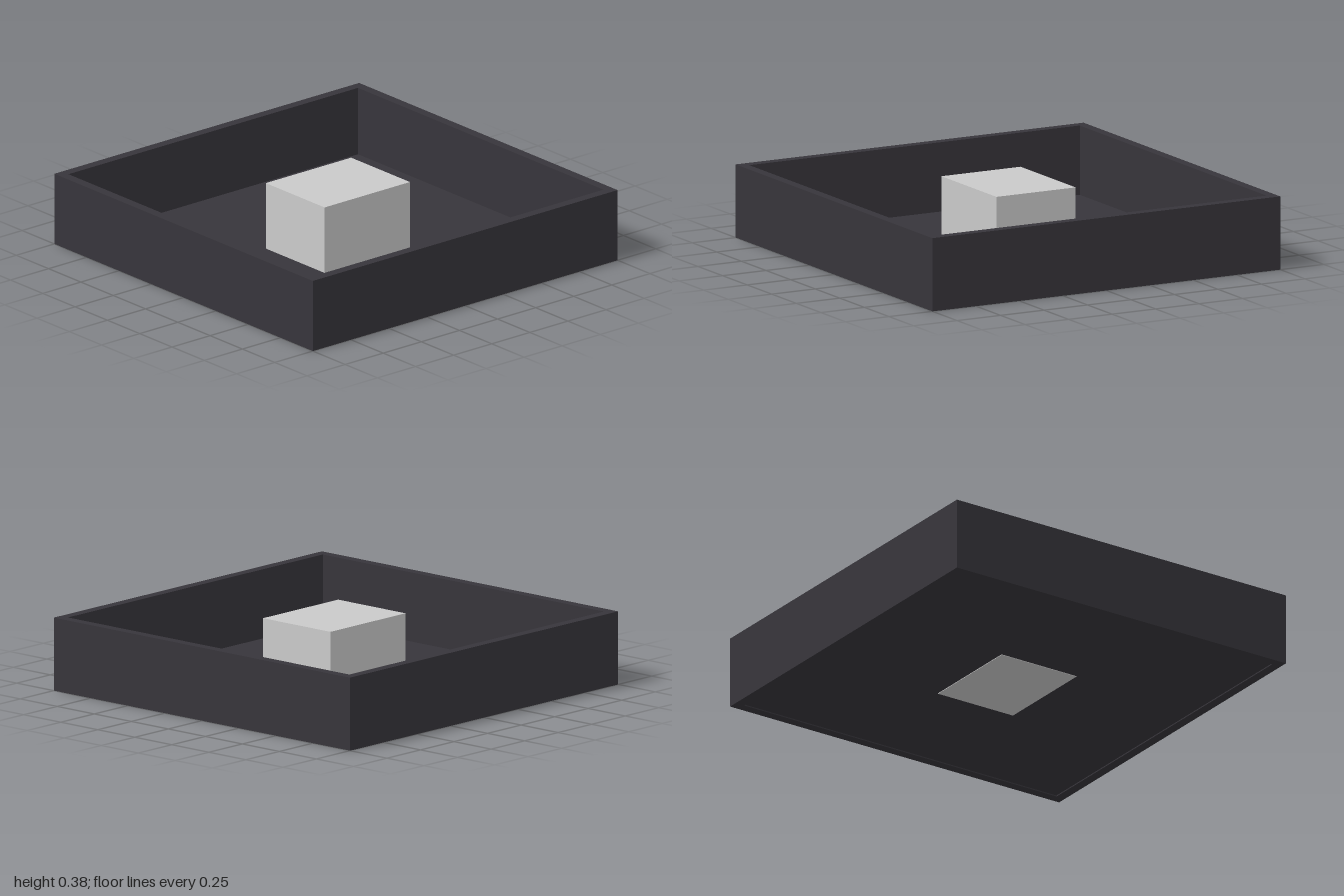
import * as THREE from 'three';

export function createModel() {
  const model = new THREE.Group();
  model.name = 'trayWithBlock';

  const charcoal = new THREE.MeshStandardMaterial({ color: 0x37353b });
  charcoal.name = 'charcoal';
  const lightGrey = new THREE.MeshStandardMaterial({ color: 0xcacaca });
  lightGrey.name = 'lightGrey';

  const height = 0.375;
  const wall = 0.05;

  // Square outline, used for both the outside of the walls and the opening
  const square = (half, Type) => new Type([
    new THREE.Vector2(-half, -half),
    new THREE.Vector2(half, -half),
    new THREE.Vector2(half, half),
    new THREE.Vector2(-half, half),
  ]);

  // Box spanning two corner points
  const addBox = (name, min, max, material) => {
    const size = max.map((v, i) => v - min[i]);
    const mesh = new THREE.Mesh(new THREE.BoxGeometry(...size), material);
    mesh.position.set(...max.map((v, i) => (v + min[i]) / 2));
    mesh.name = name;
    model.add(mesh);
  };

  // Continuous wall frame
  const outline = square(1, THREE.Shape);
  outline.holes.push(square(1 - wall, THREE.Path));
  const frame = new THREE.ExtrudeGeometry(outline, { depth: height, bevelEnabled: false });
  frame.rotateX(-Math.PI / 2);
  const walls = new THREE.Mesh(frame, charcoal);
  walls.name = 'walls';
  model.add(walls);

  // Thin floor, slightly recessed underneath
  const inner = 1 - wall;
  addBox('floor', [-inner, 0.006, -inner], [inner, 0.02, inner], charcoal);

  // Pale block set through the floor
  addBox('centreBlock', [-0.225, 0.003, -0.29], [0.23, 0.37, 0.27], lightGrey);

  return model;
}
